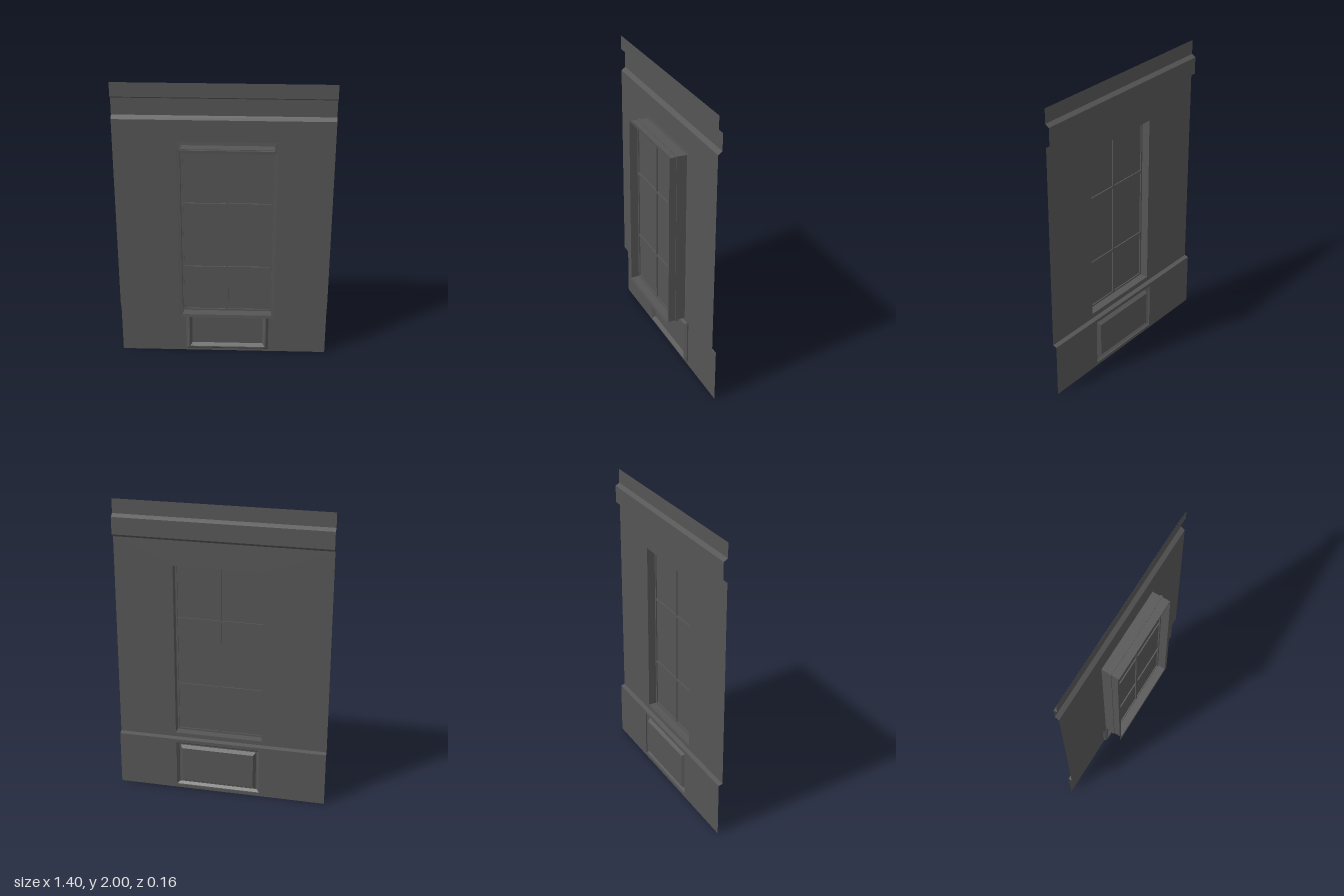
import * as THREE from 'three';

const material = new THREE.MeshStandardMaterial({ color: 0x555555, side: THREE.DoubleSide, flatShading: true });
const HALF = 0.702;    // half width of the wall
const FACE = -0.053;   // main wall plane
const BACK = -0.08;    // recessed wall plane
const OPENING = { x0: -0.268, x1: 0.32, y0: 0.402, y1: 1.588 };
const PANEL = { x0: -0.257, x1: 0.308, y0: 0.023, y1: 0.345 };

function add(parent, name, geometry, x = 0, y = 0, z = 0) {
  const mesh = new THREE.Mesh(geometry, material);
  mesh.name = name;
  mesh.position.set(x, y, z);
  parent.add(mesh);
}

// Outline of a rectangle, counter-clockwise, shrunk by an inset
function corners(r, inset = 0) {
  return [
    [r.x0 + inset, r.y0 + inset], [r.x1 - inset, r.y0 + inset],
    [r.x1 - inset, r.y1 - inset], [r.x0 + inset, r.y1 - inset],
  ].map(([x, y]) => new THREE.Vector2(x, y));
}

// Flat sheet in the xy plane with an optional rectangular hole
function sheet(outline, hole) {
  const shape = new THREE.Shape(outline);
  if (hole) shape.holes.push(new THREE.Path(hole.reverse()));
  return new THREE.ShapeGeometry(shape);
}

// Mitred rectangular frame swept from a profile of [inset, z] points
function frame(rect, profile) {
  const pos = [];
  for (let i = 0; i < profile.length - 1; i++) {
    const [a, b] = [profile[i], profile[i + 1]];
    const pa = corners(rect, a[0]), pb = corners(rect, b[0]);
    for (let k = 0; k < 4; k++) {
      const n = (k + 1) % 4;
      const A = [pa[k].x, pa[k].y, a[1]], B = [pa[n].x, pa[n].y, a[1]];
      const C = [pb[n].x, pb[n].y, b[1]], D = [pb[k].x, pb[k].y, b[1]];
      pos.push(...A, ...B, ...C, ...A, ...C, ...D);
    }
  }
  const g = new THREE.BufferGeometry();
  g.setAttribute('position', new THREE.Float32BufferAttribute(pos, 3));
  g.computeVertexNormals();
  return g;
}

// Full-width strip between two heights, sloping from z0 to z1
function strip(y0, z0, y1, z1) {
  const g = new THREE.PlaneGeometry(2 * HALF, 1);
  const p = g.attributes.position;
  for (let i = 0; i < p.count; i++) {
    const top = p.getY(i) > 0;
    p.setY(i, top ? y1 : y0);
    p.setZ(i, top ? z1 : z0);
  }
  g.computeVertexNormals();
  return g;
}

export function createModel() {
  const model = new THREE.Group();
  model.name = 'wallWithWindow';

  // Wall: stepped bands from bottom to top
  const wall = new THREE.Group();
  wall.name = 'wall';
  model.add(wall);
  const band = (y0, y1) => corners({ x0: -HALF, x1: HALF, y0, y1 });
  add(wall, 'lowerWall', sheet(band(0, 0.368), corners(PANEL)), 0, 0, BACK);
  add(wall, 'sillSlope', strip(0.368, BACK, 0.376, FACE));
  add(wall, 'mainWall', sheet(band(0.376, 1.755), corners(OPENING)), 0, 0, FACE);
  add(wall, 'friezeSlope', strip(1.755, FACE, 1.775, BACK));
  add(wall, 'frieze', strip(1.775, BACK, 1.888, BACK));
  add(wall, 'corniceSlope', strip(1.888, BACK, 1.905, FACE));
  add(wall, 'cornice', strip(1.905, FACE, 2, FACE));

  // Decorative panel: raised moulding round a flat field
  const panel = new THREE.Group();
  panel.name = 'lowerPanel';
  model.add(panel);
  add(panel, 'panelMoulding', frame(PANEL, [[0, BACK], [0, -0.072], [0.016, -0.058], [0.024, -0.058], [0.04, -0.082]]));
  add(panel, 'panelField', sheet(corners(PANEL, 0.04)), 0, 0, -0.082);

  // Window: thin jamb box with a slightly splayed flange at each end
  const win = new THREE.Group();
  win.name = 'window';
  model.add(win);
  add(win, 'windowJamb', frame(OPENING, [[-0.022, -0.048], [0, -0.046], [0, 0.079], [-0.022, 0.081]]));

  // Sash with glazing bars
  const zMid = 0.016, depth = 0.016, bar = 0.015;
  const z0 = zMid - depth / 2, z1 = zMid + depth / 2;
  add(win, 'sash', frame(OPENING, [[-0.005, z0], [-0.005, z1], [0.012, z1], [0.012, z0], [-0.005, z0]]));
  const cx = (OPENING.x0 + OPENING.x1) / 2, cy = (OPENING.y0 + OPENING.y1) / 2;
  const w = OPENING.x1 - OPENING.x0, h = OPENING.y1 - OPENING.y0;
  add(win, 'verticalBar', new THREE.BoxGeometry(bar, h, depth), cx, cy, zMid);
  for (const y of [0.738, 1.207]) {
    add(win, 'horizontalBar', new THREE.BoxGeometry(w, bar, depth), cx, y, zMid);
  }
  add(win, 'glass', sheet(corners(OPENING)), 0, 0, zMid);

  return model;
}
